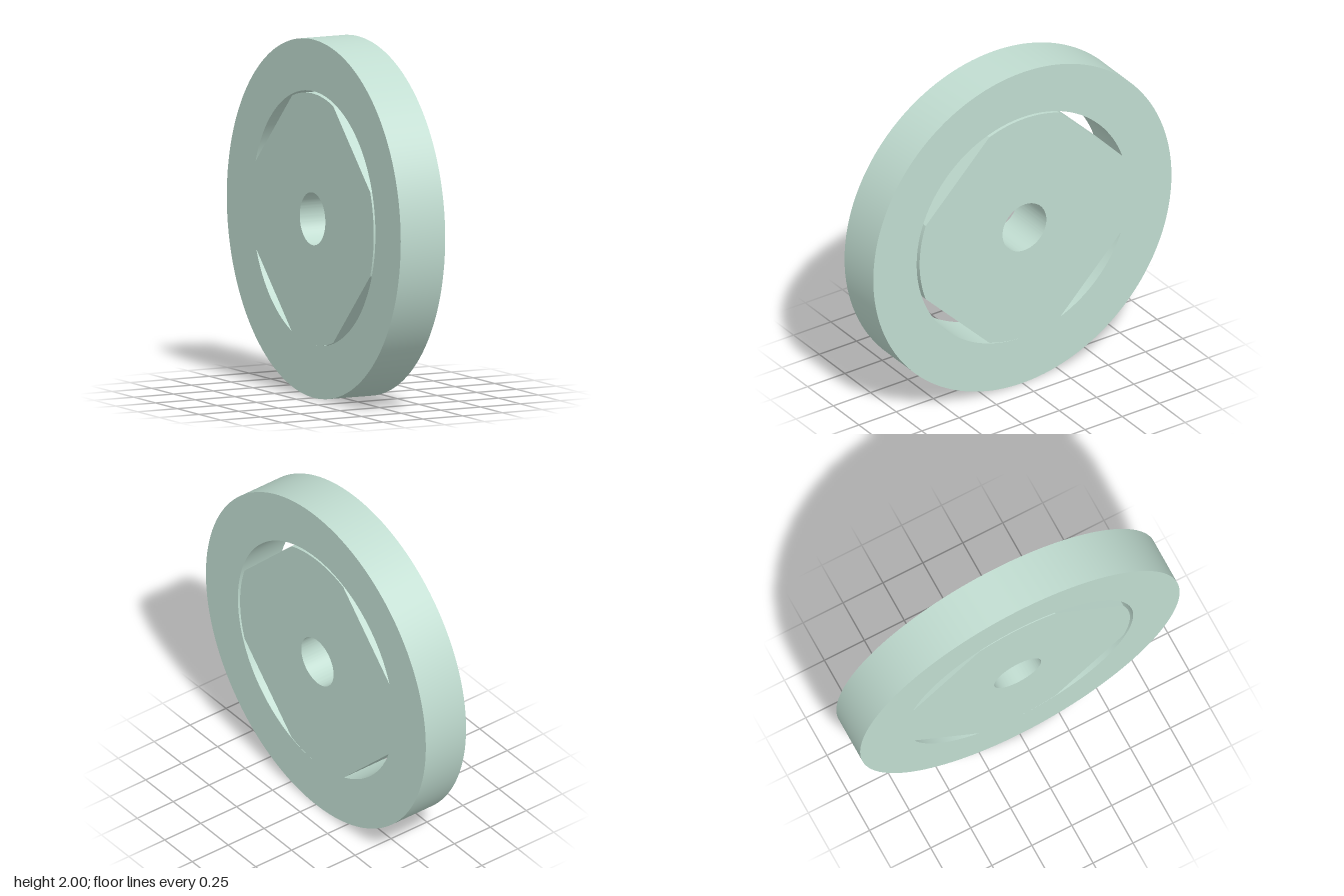
import * as THREE from 'three';
import { toCreasedNormals } from 'three/addons/utils/BufferGeometryUtils.js';

const WIDTH = 0.28;
const HUB = { x: 0.013, y: 0.996, radius: 0.702 };

function circle(x, y, radius) {
  return new THREE.Path().absarc(x, y, radius, 0, Math.PI * 2);
}

// Extrudes a side profile (horizontal = -z) across the wheel's width.
function slab(name, shape, material) {
  const geometry = new THREE.ExtrudeGeometry(shape, { depth: WIDTH, bevelEnabled: false, curveSegments: 64 });
  geometry.translate(0, 0, -WIDTH / 2);
  geometry.rotateY(Math.PI / 2);
  const mesh = new THREE.Mesh(toCreasedNormals(geometry, 0.3), material);
  mesh.name = name;
  return mesh;
}

export function createModel() {
  const group = new THREE.Group();
  group.name = 'wheel';
  const material = new THREE.MeshStandardMaterial({ color: 0xc0dcd0 });

  // Outer ring with a round opening
  const rim = new THREE.Shape().absarc(0, 1, 1, 0, Math.PI * 2);
  rim.holes.push(circle(0, 1.003, 0.709));
  group.add(slab('outerRing', rim, material));

  // Slightly offset disc: four arcs joined by diagonal flats, with an axle hole
  const hub = new THREE.Shape();
  const halfArc = THREE.MathUtils.degToRad(19.6);
  for (let i = 0; i < 4; i++) {
    const middle = i * Math.PI / 2;
    hub.absarc(HUB.x, HUB.y, HUB.radius, middle - halfArc, middle + halfArc, false);
  }
  hub.closePath();
  hub.holes.push(circle(0.014, 0.998, 0.147));
  group.add(slab('hubDisc', hub, material));

  return group;
}
